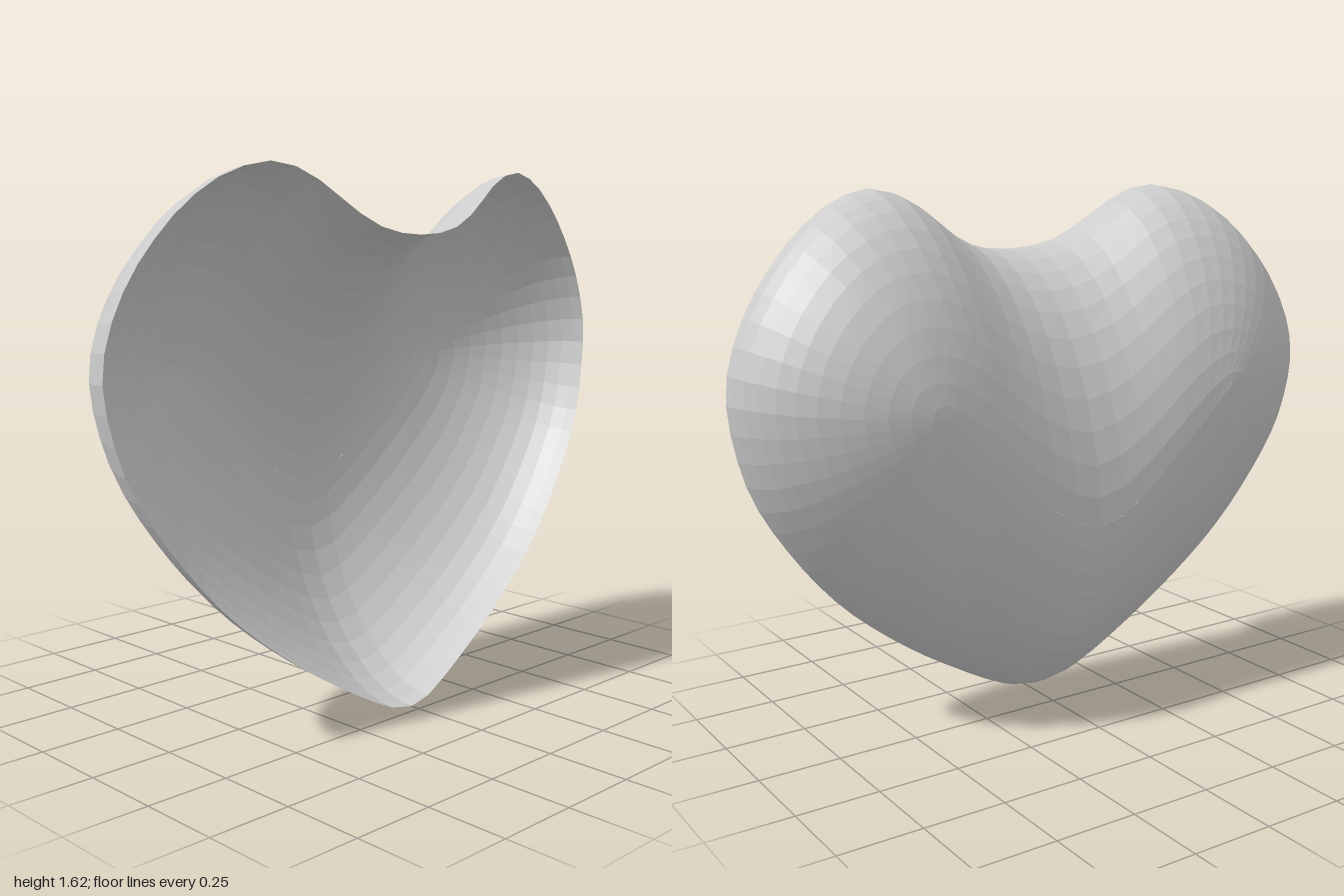
import * as THREE from 'three';

// Half of the rim, from the bottom tip round one lobe to the dip: [z, y, x]
const HALF_RIM = [
  [0, 0.004, 0.22], [0.06, 0.012, 0.217], [0.13, 0.042, 0.211], [0.22, 0.09, 0.203],
  [0.42, 0.215, 0.185], [0.65, 0.4, 0.16], [0.82, 0.6, 0.135], [0.94, 0.8, 0.115],
  [0.994, 1.0, 0.1], [0.998, 1.1, 0.1], [0.975, 1.2, 0.103], [0.925, 1.31, 0.11],
  [0.855, 1.41, 0.12], [0.76, 1.51, 0.135], [0.65, 1.585, 0.155], [0.53, 1.622, 0.182],
  [0.45, 1.615, 0.195], [0.36, 1.575, 0.21], [0.28, 1.52, 0.227], [0.19, 1.465, 0.241],
  [0.1, 1.438, 0.249], [0, 1.43, 0.25],
];
const FLOOR_X = -0.25;
const SEGMENTS = 72;
const RINGS = 12;
const FULLNESS = 1.85;

// Heart-shaped rim as one closed, mirrored curve
function rimPoints() {
  const left = HALF_RIM.map(([z, y, x]) => new THREE.Vector3(x, y, z));
  const right = left.slice(1, -1).reverse().map((p) => new THREE.Vector3(p.x, p.y, -p.z));
  return new THREE.CatmullRomCurve3([...left, ...right], true).getSpacedPoints(SEGMENTS).slice(0, SEGMENTS);
}

// Floor line: a soft V running from lobe to lobe, where the shell is deepest
function floorPoint(p) {
  const z = Math.sign(p.z) * 0.5 * (1 - Math.max(0, 1 - Math.abs(p.z)) ** 2.3);
  return new THREE.Vector3(FLOOR_X, 0.5 + Math.hypot(z, 0.14), z);
}

// Shell: each rim point sinks along a rounded section to the floor line
function shellGeometry() {
  const rim = rimPoints();
  const floor = rim.map(floorPoint);
  const positions = [];
  const index = [];
  for (let i = 0; i <= RINGS; i++) {
    const a = (i / RINGS) * Math.PI / 2;
    const r = Math.max(0, Math.cos(a)) ** (2 / FULLNESS);
    const depth = Math.sin(a) ** (2 / FULLNESS);
    rim.forEach((p, j) => {
      positions.push(
        THREE.MathUtils.lerp(p.x, FLOOR_X, depth),
        THREE.MathUtils.lerp(floor[j].y, p.y, r),
        THREE.MathUtils.lerp(floor[j].z, p.z, r),
      );
    });
  }
  for (let i = 0; i < RINGS; i++) {
    for (let j = 0; j < SEGMENTS; j++) {
      const a = i * SEGMENTS + j;
      const b = i * SEGMENTS + (j + 1) % SEGMENTS;
      index.push(a, b, b + SEGMENTS, a, b + SEGMENTS, a + SEGMENTS);
    }
  }
  const geometry = new THREE.BufferGeometry();
  geometry.setAttribute('position', new THREE.Float32BufferAttribute(positions, 3));
  geometry.setIndex(index);
  geometry.computeVertexNormals();
  return geometry;
}

export function createModel() {
  const group = new THREE.Group();
  group.name = 'heartBowl';
  const material = new THREE.MeshStandardMaterial({
    color: 0xcccccc, flatShading: true, side: THREE.DoubleSide,
  });
  const shell = new THREE.Mesh(shellGeometry(), material);
  shell.name = 'heartShell';
  group.add(shell);
  return group;
}
